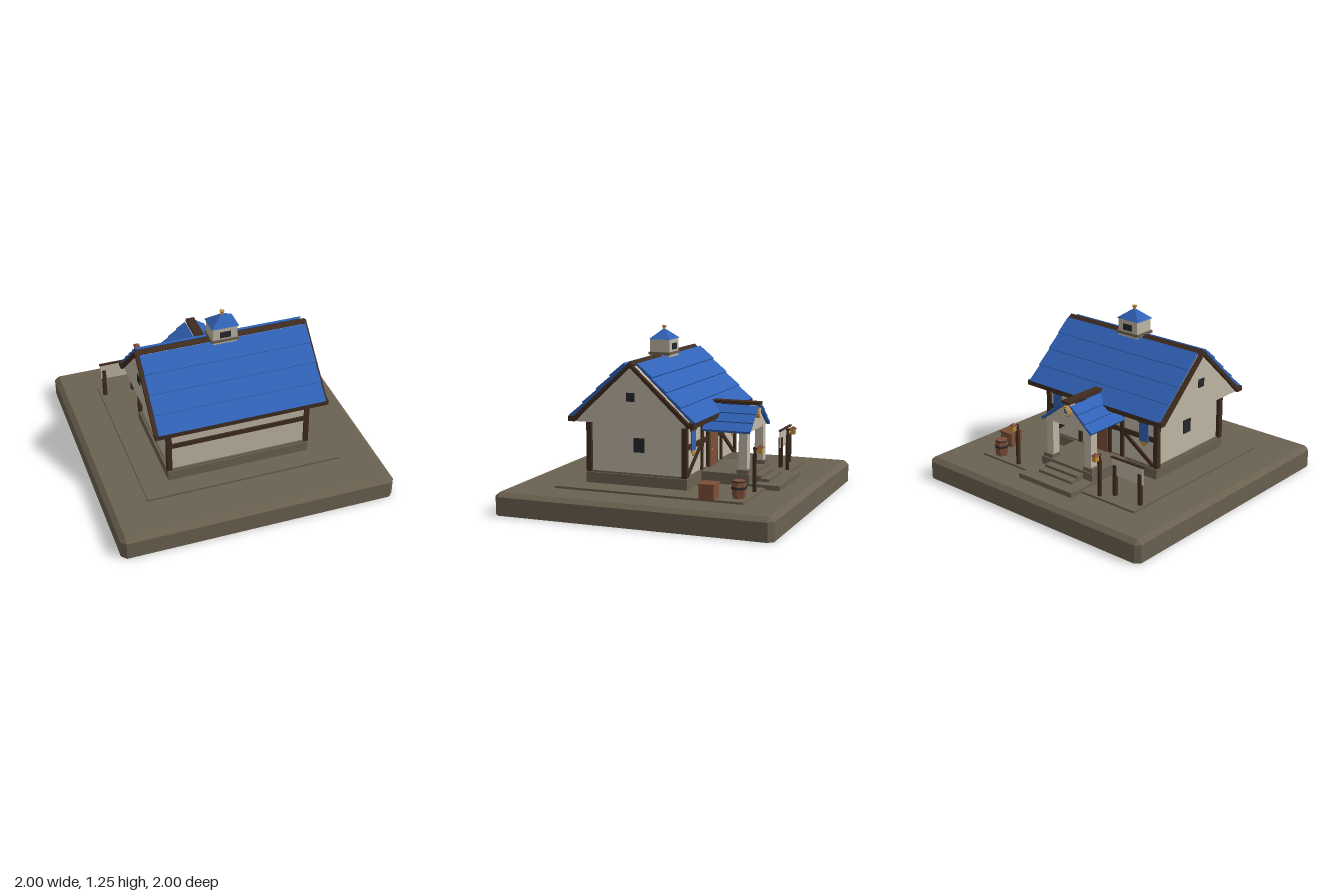
import * as THREE from 'three';
import { ConvexGeometry } from 'three/addons/geometries/ConvexGeometry.js';

const mat = (name, color) => {
  const m = new THREE.MeshStandardMaterial({ color });
  m.name = name;
  m.flatShading = true;
  return m;
};

export function createModel() {
  const stone = mat('stone', 0x6a6150), plaster = mat('plaster', 0xc0b6a4), tile = mat('blue tile', 0x3162b6);
  const timber = mat('dark timber', 0x402c20), wood = mat('brown wood', 0x7c4f38), gold = mat('gold', 0xc08d3c);
  const glass = mat('dark glass', 0x25272b), iron = mat('iron', 0x2b2b2e);

  const model = new THREE.Group();
  model.name = 'house';
  const add = (name, geometry, material, x = 0, y = 0, z = 0, parent = model) => {
    const m = new THREE.Mesh(geometry, material);
    m.name = name;
    m.position.set(x, y, z);
    parent.add(m);
    return m;
  };
  // Box given by its limits on each axis
  const box = (name, material, x0, x1, y0, y1, z0, z1, parent = model) =>
    add(name, new THREE.BoxGeometry(x1 - x0, y1 - y0, z1 - z0), material, (x0 + x1) / 2, (y0 + y1) / 2, (z0 + z1) / 2, parent);
  // Flat outline extruded along z, centred on its depth
  const slab = (points, depth) => new THREE.ExtrudeGeometry(
    new THREE.Shape(points.map(p => new THREE.Vector2(...p))), { depth, bevelEnabled: false }).translate(0, 0, -depth / 2);
  // Pitched roof side with stepped courses, starting near the ridge and falling along +x before the yaw
  const roofSide = (name, yaw, x, y, z, start, angle, length, width, rows, thick) => {
    const pts = [[0, 0], [length, 0]];
    for (let i = rows; i > 0; i--) {
      pts.push([length * i / rows, thick], [length * (i - 1) / rows, thick - 0.01]);
    }
    const g = new THREE.Group();
    g.name = name;
    g.position.set(x, y, z);
    g.rotation.y = yaw;
    model.add(g);
    add('roof courses', slab(pts, width), tile, start, 0, 0, g).rotation.z = -angle;
    return g;
  };

  // Ground block with chamfered corners and top edge
  const pts = [];
  const e = 0.965;
  for (const sx of [-1, 1]) for (const sz of [-1, 1]) {
    for (const y of [0, 0.13]) pts.push(new THREE.Vector3(sx, y, sz * e), new THREE.Vector3(sx * e, y, sz));
    pts.push(new THREE.Vector3(sx * e, 0.16, sz * e));
  }
  add('ground block', new ConvexGeometry(pts), stone);
  box('paving', stone, -0.72, 0.72, 0.15, 0.175, -0.71, 0.67);
  box('path slab', stone, -0.25, 0.25, 0.16, 0.195, -0.815, -0.5);

  // House body
  const cz = 0.14;
  box('foundation', stone, -0.525, 0.525, 0.17, 0.25, -0.24, 0.52);
  box('foundation cap', stone, -0.512, 0.512, 0.25, 0.262, -0.232, 0.512);
  box('walls', plaster, -0.5, 0.5, 0.25, 0.63, -0.22, 0.5);
  for (const sx of [-1, 1]) for (const z of [-0.218, 0.498]) {
    box('corner post', timber, sx * 0.51 - 0.018, sx * 0.51 + 0.018, 0.255, 0.625, z - 0.018, z + 0.018);
  }
  box('front rail', timber, -0.5, 0.5, 0.445, 0.48, 0.49, 0.512);
  box('back rail', timber, -0.5, 0.5, 0.445, 0.48, -0.234, -0.21);
  const gable = add('gable block', slab([[-0.42, 0.62], [0.42, 0.62], [0, 1.033]], 1.21), plaster, 0, 0, cz);
  gable.rotation.y = Math.PI / 2;

  // Gable windows, barge boards, eaves and ridge
  for (const s of [-1, 1]) {
    box('gable window', glass, s * 0.608 - 0.004, s * 0.608 + 0.004, 0.78, 0.84, 0.112, 0.172);
    box('side window', glass, s * 0.503 - 0.004, s * 0.503 + 0.004, 0.41, 0.51, 0.085, 0.165);
    const barge = add('barge board', slab([[-0.46, 0.625], [-0.42, 0.625], [0, 1.018], [0.42, 0.625], [0.46, 0.625], [0, 1.048]], 0.03),
      timber, s * 0.615, 0, cz);
    barge.rotation.y = Math.PI / 2;
    box('eave beam', timber, -0.63, 0.63, 0.622, 0.658, cz + s * 0.44 - 0.026, cz + s * 0.44 + 0.026);
    roofSide('main roof side', -s * Math.PI / 2, 0, 1.034, cz, 0.04, 0.755, 0.57, 1.215, 4, 0.024);
  }
  add('ridge beam', new THREE.BoxGeometry(1.24, 0.036, 0.036), timber, 0, 1.032, cz).rotation.x = Math.PI / 4;

  // Roof turret
  box('turret base', stone, -0.1, 0.1, 1.045, 1.065, cz - 0.08, cz + 0.08);
  box('turret body', plaster, -0.088, 0.088, 1.03, 1.16, cz - 0.075, cz + 0.075);
  for (const s of [-1, 1]) {
    box('turret window', glass, -0.04, 0.04, 1.08, 1.125, cz + s * 0.078 - 0.004, cz + s * 0.078 + 0.004);
  }
  const cap = new THREE.ConeGeometry(Math.SQRT1_2, 1, 4).rotateY(Math.PI / 4).scale(0.2, 0.075, 0.16);
  add('turret roof', cap, tile, 0, 1.193, cz);
  add('finial stem', new THREE.CylinderGeometry(0.008, 0.012, 0.02, 6), gold, 0, 1.228, cz);
  add('finial', new THREE.CylinderGeometry(0.019, 0.012, 0.016, 6), gold, 0, 1.242, cz);

  // Porch floor, steps and roof
  box('porch floor', stone, -0.24, 0.24, 0.17, 0.255, -0.59, -0.23);
  box('upper step', stone, -0.155, 0.155, 0.17, 0.235, -0.65, -0.58);
  box('lower step', stone, -0.155, 0.155, 0.17, 0.215, -0.71, -0.58);
  add('porch gable', slab([[-0.21, 0.55], [0.21, 0.55], [0, 0.715]], 0.05), plaster, 0, 0, -0.54);
  box('porch lintel', plaster, -0.2, 0.2, 0.535, 0.565, -0.56, -0.51);
  box('porch ridge', timber, -0.034, 0.034, 0.712, 0.734, -0.595, -0.2);
  for (const s of [-1, 1]) {
    box('porch pillar', plaster, s * 0.18 - 0.03, s * 0.18 + 0.03, 0.25, 0.56, -0.565, -0.503);
    box('pillar base', stone, s * 0.19 - 0.042, s * 0.19 + 0.042, 0.18, 0.283, -0.58, -0.495);
    roofSide('porch roof side', s > 0 ? 0 : Math.PI, 0, 0.7, -0.415, 0.035, 0.7, 0.25, 0.35, 3, 0.022);
  }
  // Round gable ornament
  const disc = (name, r, depth, material, z) =>
    add(name, new THREE.CylinderGeometry(r, r, depth, 12).rotateX(Math.PI / 2), material, 0, 0.655, z);
  disc('ornament rim', 0.038, 0.03, gold, -0.575);
  disc('ornament face', 0.031, 0.008, plaster, -0.592);
  box('ornament pointer', iron, -0.004, 0.004, 0.652, 0.68, -0.6, -0.594);
  box('ornament short pointer', iron, -0.018, 0.004, 0.651, 0.659, -0.6, -0.594);

  // Back wall: door, braces and hanging banners
  box('door frame', timber, -0.1, 0.1, 0.255, 0.53, -0.238, -0.21);
  box('door', wood, -0.078, 0.078, 0.255, 0.508, -0.245, -0.21);
  box('door handle', gold, 0.045, 0.06, 0.37, 0.385, -0.253, -0.24);
  for (const s of [-1, 1]) {
    box('inner post', timber, s * 0.2 - 0.016, s * 0.2 + 0.016, 0.255, 0.625, -0.234, -0.21);
    const brace = add('diagonal brace', new THREE.BoxGeometry(0.34, 0.026, 0.02), timber, s * 0.345, 0.36, -0.224);
    brace.rotation.z = -s * 0.6;
    box('banner rod', timber, s * 0.41 - 0.05, s * 0.41 + 0.05, 0.575, 0.588, -0.25, -0.235);
    add('banner', slab([[-0.04, 0.435], [0.04, 0.435], [0.04, 0.58], [-0.04, 0.58]], 0.008), tile, s * 0.41, 0, -0.242);
    add('banner tip', slab([[-0.04, 0.435], [0, 0.395], [0.04, 0.435]], 0.008), gold, s * 0.41, 0, -0.242);

    // Lamp post
    const x = s * 0.39;
    box('lamp post', timber, x - 0.011, x + 0.011, 0.17, 0.44, -0.69, -0.668);
    box('lamp arm', timber, x - 0.007, x + 0.007, 0.47, 0.482, -0.72, -0.668);
    box('lamp neck', timber, x - 0.008, x + 0.008, 0.44, 0.482, -0.687, -0.671);
    box('lantern', gold, x - 0.016, x + 0.016, 0.445, 0.485, -0.736, -0.704);
    add('lantern cap', new THREE.ConeGeometry(0.034, 0.022, 4).rotateY(Math.PI / 4), wood, x, 0.495, -0.72);
  }

  // Notice board
  box('board panel', plaster, -0.71, -0.44, 0.325, 0.45, -0.61, -0.6);
  box('board rail', timber, -0.718, -0.432, 0.448, 0.458, -0.614, -0.596);
  for (const x of [-0.685, -0.465]) box('board post', timber, x - 0.014, x + 0.014, 0.17, 0.4, -0.618, -0.592);

  // Crate and barrel
  box('crate', wood, 0.632, 0.743, 0.175, 0.27, -0.51, -0.405);
  box('crate lid', wood, 0.625, 0.75, 0.268, 0.283, -0.516, -0.4);
  const hex = (name, top, bottom, y, h, material) =>
    add(name, new THREE.CylinderGeometry(top, bottom, h, 6).rotateY(Math.PI / 6), material, 0.6, y, -0.64);
  hex('barrel lower', 0.05, 0.044, 0.205, 0.06, wood);
  hex('barrel upper', 0.044, 0.05, 0.264, 0.06, wood);
  hex('barrel hoop', 0.053, 0.053, 0.245, 0.016, iron);
  hex('barrel rim', 0.047, 0.047, 0.288, 0.008, iron);
  hex('barrel lid', 0.045, 0.045, 0.291, 0.008, wood);

  return model;
}
